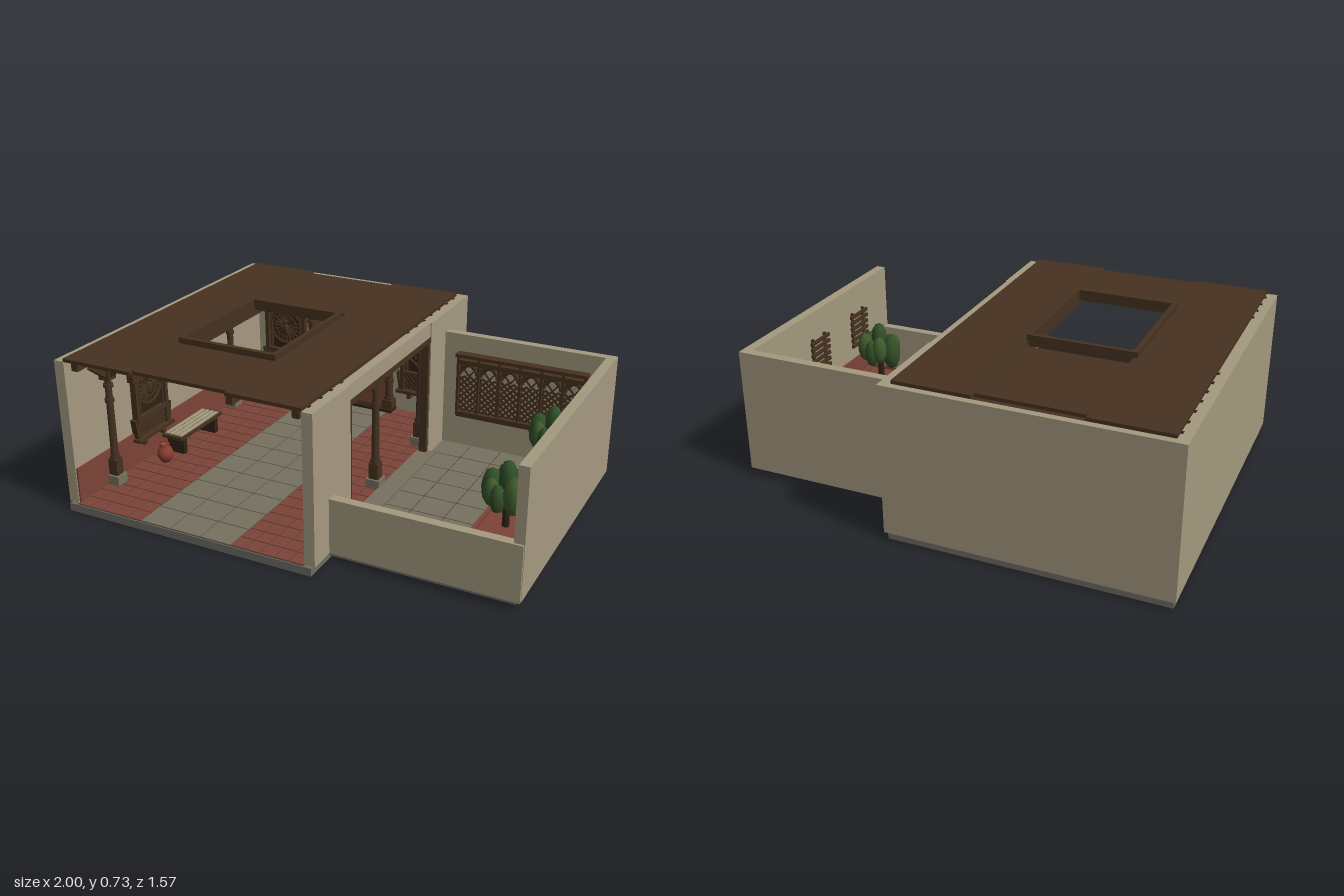
import * as THREE from 'three';

const mat = (name, color) => {
  const m = new THREE.MeshStandardMaterial({ color });
  m.name = name;
  return m;
};
const plaster = mat('plaster', 0xa59a80), stone = mat('stone', 0x77715f), slabStone = mat('slabStone', 0x6f6b64);
const brick = mat('brick', 0x7d4438), terracotta = mat('terracotta', 0x8a4030), wood = mat('wood', 0x463220);
const darkWood = mat('darkWood', 0x2f2116), grout = mat('grout', 0x4a443a);
const leaf = mat('leaf', 0x3f5c2d), darkLeaf = mat('darkLeaf', 0x33502a);

const add = (parent, name, geometry, material, x = 0, y = 0, z = 0) => {
  const m = new THREE.Mesh(geometry, material);
  m.name = name;
  m.position.set(x, y, z);
  parent.add(m);
  return m;
};
// Box given by its limits on each axis
const box = (p, name, m, x0, x1, y0, y1, z0, z1) =>
  add(p, name, new THREE.BoxGeometry(x1 - x0, y1 - y0, z1 - z0), m, (x0 + x1) / 2, (y0 + y1) / 2, (z0 + z1) / 2);
const group = (p, name, x = 0, y = 0, z = 0) => {
  const g = new THREE.Group();
  g.name = name;
  g.position.set(x, y, z);
  p.add(g);
  return g;
};

// Floor area laid with separate thin tiles
function tiles(p, name, m, x0, x1, z0, z1, nx, nz, y) {
  const g = group(p, name), dx = (x1 - x0) / nx, dz = (z1 - z0) / nz, gap = 0.0025;
  for (let i = 0; i < nx; i++) for (let j = 0; j < nz; j++)
    box(g, 'tile', m, x0 + i * dx + gap, x0 + (i + 1) * dx - gap, y, y + 0.004, z0 + j * dz + gap, z0 + (j + 1) * dz - gap);
}

// Crossed diagonal bars filling a rectangle in the xy plane
function lattice(p, x0, x1, y0, y1, nx, ny, z, t) {
  const g = group(p, 'lattice'), dx = (x1 - x0) / nx, dy = (y1 - y0) / ny;
  for (let i = 0; i < nx; i++) for (let j = 0; j < ny; j++) for (const s of [-1, 1]) {
    const bar = add(g, 'latticeBar', new THREE.BoxGeometry(Math.hypot(dx, dy), t, t), wood, x0 + (i + 0.5) * dx, y0 + (j + 0.5) * dy, z);
    bar.rotation.z = s * Math.atan2(dy, dx);
  }
}

// Carved window with a fan medallion, facing +z
function carvedWindow(p, x, y, z, turn = 0) {
  const g = group(p, 'carvedWindow', x, y, z);
  g.rotation.y = turn;
  box(g, 'windowBack', darkWood, -0.11, 0.11, -0.2, 0.2, 0, 0.01);
  for (const s of [-1, 1]) {
    add(g, 'frameSide', new THREE.BoxGeometry(0.02, 0.4, 0.03), wood, s * 0.108, 0, 0.015);
    add(g, 'frameBorder', new THREE.BoxGeometry(0.008, 0.28, 0.02), wood, s * 0.085, 0.05, 0.015);
    const wing = add(g, 'sideWing', new THREE.BoxGeometry(0.012, 0.1, 0.03), wood, s * 0.124, -0.14, 0.015);
    wing.rotation.z = -s * 0.15;
    add(g, 'sillBracket', new THREE.BoxGeometry(0.02, 0.03, 0.03), wood, s * 0.07, -0.215, 0.015);
  }
  box(g, 'windowHead', wood, -0.125, 0.125, 0.185, 0.21, 0, 0.04);
  box(g, 'middleRail', wood, -0.115, 0.115, -0.105, -0.085, 0, 0.032);
  box(g, 'windowSill', wood, -0.135, 0.135, -0.2, -0.185, 0, 0.045);
  lattice(g, -0.1, 0.1, -0.185, -0.105, 8, 3, 0.016, 0.006);
  add(g, 'medallionRing', new THREE.TorusGeometry(0.088, 0.007, 6, 32), wood, 0, 0.04, 0.016);
  add(g, 'innerRing', new THREE.TorusGeometry(0.06, 0.004, 6, 28), wood, 0, 0.04, 0.016);
  for (let i = 0; i < 20; i++) {
    const a = (i / 20) * Math.PI * 2;
    const spoke = add(g, 'fanSpoke', new THREE.BoxGeometry(0.065, 0.006, 0.008), wood, Math.cos(a) * 0.052, 0.04 + Math.sin(a) * 0.052, 0.016);
    spoke.rotation.z = a;
  }
  const bird = add(g, 'carvedBird', new THREE.SphereGeometry(0.022, 10, 8), wood, 0, 0.025, 0.018);
  bird.scale.set(0.8, 1.5, 0.6);
  add(g, 'birdHead', new THREE.SphereGeometry(0.011, 8, 6), wood, 0, 0.066, 0.02);
}

// Timber post on a stone base; side gives the direction of its brackets
function post(p, x, z, side) {
  const g = group(p, 'post', x, 0.04, z);
  box(g, 'postBase', stone, -0.032, 0.032, 0, 0.045, -0.032, 0.032);
  box(g, 'postFoot', wood, -0.022, 0.022, 0.045, 0.12, -0.022, 0.022);
  add(g, 'postShaft', new THREE.CylinderGeometry(0.015, 0.018, 0.4, 10), wood, 0, 0.31, 0);
  for (const [y, r] of [[0.13, 0.023], [0.4, 0.021], [0.47, 0.022]])
    add(g, 'postRing', new THREE.CylinderGeometry(r, r, 0.016, 12), wood, 0, y, 0);
  box(g, 'postHead', wood, -0.026, 0.026, 0.5, 0.61, -0.026, 0.026);
  const arm = add(g, 'bracketArm', new THREE.BoxGeometry(0.1, 0.022, 0.03), wood, side * 0.06, 0.555, 0);
  arm.rotation.z = side * 0.65;
  for (const s of [-1, 1]) {
    const lower = add(g, 'sideBracket', new THREE.BoxGeometry(0.03, 0.022, 0.1), wood, 0, 0.555, s * 0.06);
    lower.rotation.x = -s * 0.65;
  }
}

function bush(p, x, z) {
  const g = group(p, 'planter', x, 0.04, z);
  for (const s of [-1, 1]) {
    box(g, 'planterSide', brick, s * 0.1 - 0.008, s * 0.1 + 0.008, 0, 0.12, -0.108, 0.108);
    box(g, 'planterEnd', brick, -0.092, 0.092, 0, 0.12, s * 0.1 - 0.008, s * 0.1 + 0.008);
  }
  box(g, 'soil', brick, -0.092, 0.092, 0, 0.105, -0.092, 0.092);
  add(g, 'stem', new THREE.CylinderGeometry(0.012, 0.016, 0.16, 6), darkWood, 0, 0.18, 0);
  for (let i = 0; i < 9; i++) {
    const a = i * 2.4, r = i ? 0.07 : 0, s = 0.9 + 0.15 * Math.sin(i * 5);
    const clump = add(g, 'leafClump', new THREE.IcosahedronGeometry(0.042, 1), i % 2 ? leaf : darkLeaf,
      r * Math.cos(a), i ? 0.265 + 0.05 * Math.sin(i * 3.1) : 0.32, r * Math.sin(a));
    clump.scale.set(s, 2 * s, s);
    clump.rotation.y = a;
  }
}

export function createModel() {
  const model = new THREE.Group();
  model.name = 'courtyardHouse';

  // Slabs and floors
  box(model, 'houseSlab', slabStone, -0.99, 0.195, 0, 0.036, -0.77, 0.78);
  box(model, 'houseGrout', grout, -0.95, 0.16, 0.036, 0.038, -0.755, 0.775);
  tiles(model, 'leftTiles', brick, -0.95, -0.62, -0.755, 0.775, 5, 20, 0.037);
  tiles(model, 'pathTiles', stone, -0.62, -0.175, -0.755, 0.775, 3, 11, 0.037);
  tiles(model, 'rightTiles', brick, -0.175, 0.16, -0.755, 0.775, 5, 20, 0.037);
  box(model, 'yardSlab', slabStone, 0.195, 0.98, 0.02, 0.036, -0.53, 0.635);
  box(model, 'yardGrout', grout, 0.205, 0.955, 0.036, 0.038, -0.515, 0.605);
  tiles(model, 'yardTiles', stone, 0.205, 0.955, -0.515, 0.605, 5, 8, 0.037);
  box(model, 'yardStep', stone, 0.155, 0.24, 0.04, 0.055, -0.35, 0.455);

  // House walls, with an opening towards the yard
  box(model, 'leftWall', plaster, -1, -0.952, 0.036, 0.69, -0.755, 0.765);
  box(model, 'backWall', plaster, -1, 0.205, 0.036, 0.69, -0.785, -0.755);
  box(model, 'rightWallFront', plaster, 0.158, 0.205, 0.036, 0.69, 0.455, 0.765);
  box(model, 'rightWallBack', plaster, 0.158, 0.205, 0.036, 0.69, -0.755, -0.345);
  box(model, 'openingLintel', plaster, 0.16, 0.2, 0.622, 0.69, -0.345, 0.455);
  box(model, 'openingBeam', wood, 0.16, 0.203, 0.597, 0.622, -0.345, 0.455);
  for (const z of [-0.345, 0.435]) box(model, 'openingJamb', wood, 0.165, 0.2, 0.04, 0.597, z, z + 0.02);

  // Yard walls
  box(model, 'yardBackWall', plaster, 0.2, 1, 0.036, 0.595, -0.555, -0.515);
  box(model, 'yardRightWall', plaster, 0.957, 1, 0.036, 0.595, -0.515, 0.635);
  box(model, 'yardFrontWall', plaster, 0.205, 0.998, 0.036, 0.28, 0.605, 0.645);

  // Roof panels around the skylight, and its raised frame
  box(model, 'roofLeft', wood, -0.953, -0.62, 0.69, 0.705, -0.755, 0.765);
  box(model, 'roofRight', wood, -0.175, 0.158, 0.69, 0.705, -0.755, 0.765);
  box(model, 'roofBack', wood, -0.62, -0.175, 0.688, 0.703, -0.73, -0.25);
  box(model, 'roofFront', wood, -0.62, -0.175, 0.688, 0.703, 0.38, 0.745);
  for (const x of [-0.637, -0.187]) box(model, 'skylightSide', wood, x, x + 0.022, 0.68, 0.73, -0.195, 0.4);
  for (const z of [-0.195, 0.378]) box(model, 'skylightEnd', wood, -0.637, -0.165, 0.68, 0.729, z, z + 0.022);
  for (const z of [-0.705, -0.62, -0.53, -0.44, -0.355, -0.27, -0.18, 0.45, 0.535, 0.62, 0.71])
    for (const [a, b] of [[-0.962, -0.62], [-0.175, 0.167]]) box(model, 'rafter', darkWood, a, b, 0.672, 0.692, z - 0.01, z + 0.01);
  for (const x of [-0.91, -0.63, -0.165, 0.125]) box(model, 'roofBeam', wood, x - 0.015, x + 0.015, 0.65, 0.69, -0.75, 0.75);

  // Posts
  for (const z of [0.54, -0.42]) post(model, -0.92, z, 1);
  for (const z of [0.54, 0.06, -0.42]) post(model, 0.125, z, -1);

  // Doorway on the back wall
  const door = group(model, 'doorway', -0.397, 0, -0.755);
  box(door, 'doorPanel', brick, -0.205, 0.205, 0.04, 0.58, 0, 0.02);
  box(door, 'doorStep', darkWood, -0.25, 0.25, 0.04, 0.054, 0, 0.07);
  for (const s of [-1, 1]) {
    const x = s * 0.22;
    box(door, 'columnBase', wood, x - 0.026, x + 0.026, 0.054, 0.1, 0, 0.055);
    add(door, 'columnShaft', new THREE.CylinderGeometry(0.018, 0.02, 0.44, 12), wood, x, 0.32, 0.028);
    for (const y of [0.11, 0.2, 0.45, 0.52]) add(door, 'columnRing', new THREE.CylinderGeometry(0.025, 0.025, 0.014, 12), wood, x, y, 0.028);
    box(door, 'columnHead', wood, x - 0.03, x + 0.03, 0.535, 0.575, 0, 0.06);
  }
  for (const [w, y0, y1, d] of [[0.235, 0.575, 0.612, 0.045], [0.245, 0.612, 0.628, 0.06], [0.272, 0.628, 0.65, 0.085], [0.255, 0.65, 0.685, 0.07]])
    box(door, 'corniceStep', wood, -w, w, y0, y1, 0, d);
  for (let i = 0; i < 13; i++) add(door, 'dentil', new THREE.BoxGeometry(0.018, 0.018, 0.012), darkWood, -0.21 + i * 0.035, 0.593, 0.048);

  // Framed picture on the door panel
  box(door, 'pictureFrame', terracotta, -0.083, 0.083, 0.198, 0.455, 0.02, 0.026);
  box(door, 'picture', stone, -0.075, 0.075, 0.208, 0.446, 0.026, 0.03);
  const spot = add(door, 'pictureSpot', new THREE.CylinderGeometry(0.016, 0.016, 0.003, 14), plaster, 0.012, 0.335, 0.031);
  spot.rotation.x = Math.PI / 2;
  spot.scale.z = 2.2;
  box(door, 'pictureMark', wood, 0.065, 0.073, 0.24, 0.37, 0.03, 0.033);

  // Carved windows
  carvedWindow(model, -0.78, 0.35, -0.755);
  carvedWindow(model, 0.0, 0.35, -0.755);
  carvedWindow(model, -0.952, 0.36, 0.24, Math.PI / 2);

  // Brick dado strips
  box(model, 'leftDado', brick, -0.952, -0.944, 0.04, 0.2, -0.755, 0.76);
  box(model, 'yardDado', brick, 0.948, 0.957, 0.04, 0.23, -0.515, 0.605);

  // Bench with slatted seat
  const bench = group(model, 'bench', -0.86, 0.04, 0.03);
  for (const z of [-0.13, 0.13]) box(bench, 'benchLeg', darkWood, -0.045, 0.045, 0, 0.085, z - 0.014, z + 0.014);
  box(bench, 'benchFrame', wood, -0.055, 0.055, 0.08, 0.095, -0.17, 0.17);
  for (let i = 0; i < 4; i++) box(bench, 'benchSlat', plaster, -0.047 + i * 0.025, -0.03 + i * 0.025, 0.095, 0.1, -0.155, 0.155);

  // Clay pot
  const profile = [[0, 0], [0.02, 0], [0.036, 0.025], [0.038, 0.045], [0.028, 0.07], [0.018, 0.08], [0.024, 0.09], [0.018, 0.088], [0, 0.075]];
  add(model, 'clayPot', new THREE.LatheGeometry(profile.map(([x, y]) => new THREE.Vector2(x, y)), 20), terracotta, -0.85, 0.041, 0.27);

  // Timber screen on the yard's back wall
  const screen = group(model, 'yardScreen', 0.585, 0, -0.515);
  box(screen, 'screenTop', wood, -0.31, 0.31, 0.497, 0.512, 0, 0.045);
  box(screen, 'screenRail', wood, -0.3, 0.3, 0.46, 0.482, 0, 0.035);
  box(screen, 'screenBottom', wood, -0.3, 0.3, 0.2, 0.225, 0, 0.04);
  for (let i = 0; i <= 6; i++) box(screen, 'screenPost', wood, -0.306 + i * 0.1, -0.294 + i * 0.1, 0.2, 0.497, 0.004, 0.034);
  for (let i = 0; i < 6; i++) {
    const arch = add(screen, 'screenArch', new THREE.TorusGeometry(0.04, 0.009, 6, 12, Math.PI), wood, -0.25 + i * 0.1, 0.41, 0.02);
    arch.scale.y = 1.2;
  }
  lattice(screen, -0.3, 0.3, 0.225, 0.4, 20, 6, 0.018, 0.009);
  lattice(screen, -0.3, 0.3, 0.4, 0.46, 12, 1, 0.014, 0.007);

  // Slatted wall racks in the yard
  for (const z of [-0.02, 0.335]) {
    const rack = group(model, 'wallRack', 0.945, 0, z);
    for (const s of [-1, 1]) box(rack, 'rackUpright', wood, 0, 0.012, 0.29, 0.47, s * 0.05 - 0.006, s * 0.05 + 0.006);
    for (let i = 0; i < 6; i++) box(rack, 'rackSlat', wood, -0.008, 0.004, 0.295 + i * 0.03, 0.311 + i * 0.03, -0.075, 0.075);
  }

  bush(model, 0.815, -0.277);
  bush(model, 0.815, 0.305);
  return model;
}
